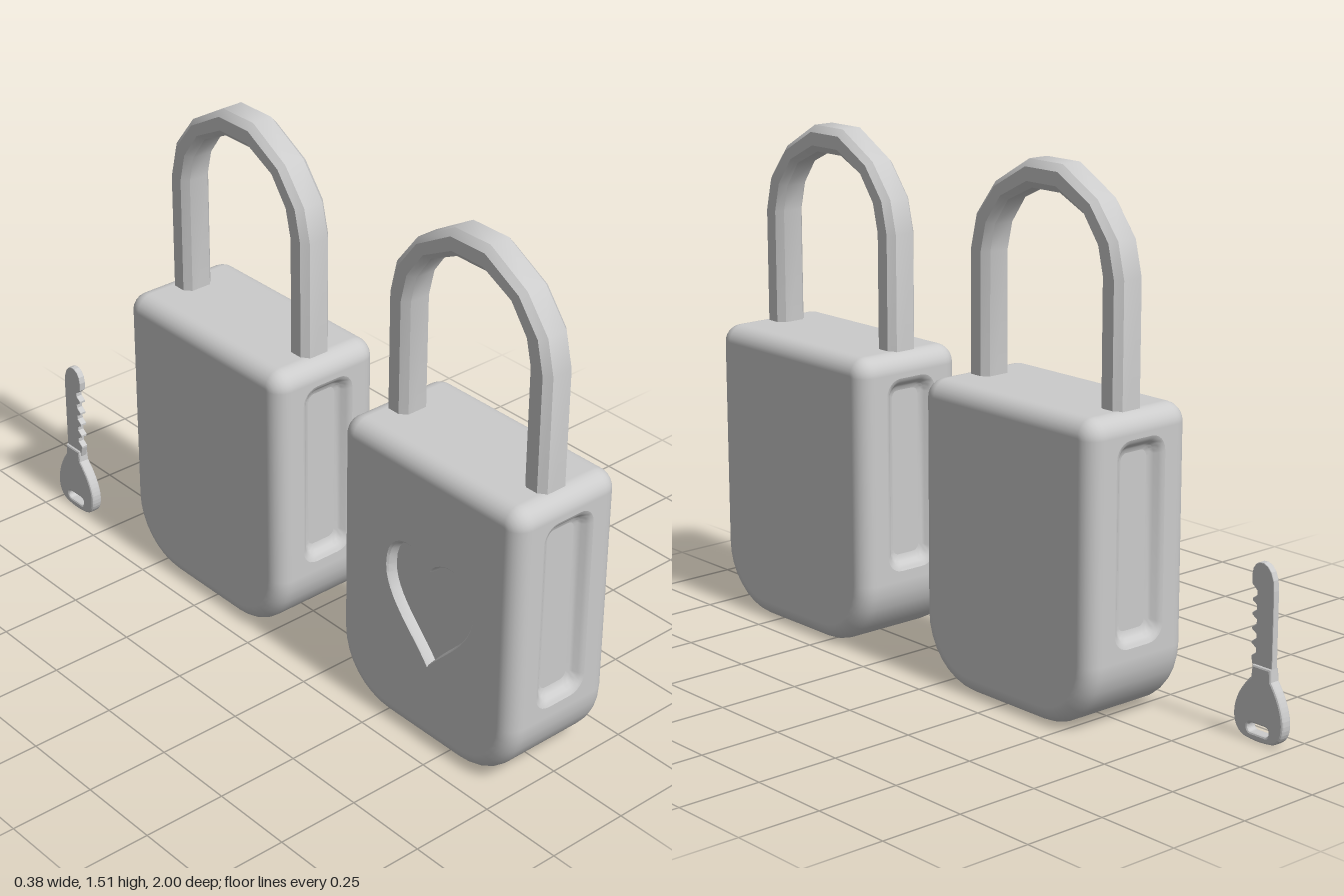
import * as THREE from 'three';
import { mergeGeometries, toCreasedNormals } from 'three/addons/utils/BufferGeometryUtils.js';

const mat = new THREE.MeshStandardMaterial({ color: 0xcccccc });
const V = (x, y) => new THREE.Vector2(x, y);
const H = 0.3425, HX = 0.183, TOP = 0.88, BEVEL = 0.05, R_TOP = 0.055, R_LOW = 0.2;

function mesh(geo, name) {
  const m = new THREE.Mesh(geo, mat);
  m.name = name;
  return m;
}

// Skin a list of closed rings of Vector3
function loft(rings) {
  const n = rings[0].length, idx = [];
  for (let k = 0; k < rings.length - 1; k++)
    for (let i = 0; i < n; i++) {
      const j = (i + 1) % n;
      const a = k * n + i, b = k * n + j, c = b + n, d = a + n;
      idx.push(a, b, c, a, c, d);
    }
  const g = new THREE.BufferGeometry().setFromPoints(rings.flat());
  g.setIndex(idx);
  return toCreasedNormals(g, 0.6);
}

// Counter-clockwise rounded rectangle
function roundRect(w, h, r, cx = 0, cy = 0, seg = 6) {
  const pts = [];
  [[1, -1], [1, 1], [-1, 1], [-1, -1]].forEach(([sx, sy], q) => {
    for (let i = 0; i <= seg; i++) {
      const a = (q - 1 + i / seg) * Math.PI / 2;
      pts.push(V(cx + sx * (w / 2 - r) + r * Math.cos(a), cy + sy * (h / 2 - r) + r * Math.sin(a)));
    }
  });
  return pts;
}

const rect = (x, y0, y1) => [V(-x, y0), V(x, y0), V(x, y1), V(-x, y1)];

// Flat panel facing +z; recess = { at: inset => contour, steps: [[inset, depth], ...] }
function panel(outline, recess) {
  const shape = new THREE.Shape(outline);
  if (!recess) return new THREE.ShapeGeometry(shape).toNonIndexed();
  shape.holes.push(new THREE.Path(recess.at(0)));
  const rings = recess.steps.map(([inset, depth]) =>
    recess.at(inset).map(p => new THREE.Vector3(p.x, p.y, -depth)));
  const [lastInset, lastDepth] = recess.steps.at(-1);
  const floor = new THREE.ShapeGeometry(new THREE.Shape(recess.at(lastInset)));
  floor.translate(0, 0, -lastDepth);
  const parts = [new THREE.ShapeGeometry(shape), floor].map(g => g.toNonIndexed());
  parts.forEach(g => g.deleteAttribute('uv'));
  return mergeGeometries([...parts, loft(rings)]);
}

// Side outline of the body in (z, y), with outward normals
function bodyProfile() {
  const pts = [], seg = 8;
  const corners = [[H - R_LOW, R_LOW, R_LOW], [H - R_TOP, TOP - R_TOP, R_TOP],
    [R_TOP - H, TOP - R_TOP, R_TOP], [R_LOW - H, R_LOW, R_LOW]];
  corners.forEach(([cz, cy, r], q) => {
    for (let i = 0; i <= seg; i++) {
      const a = (q - 1 + i / seg) * Math.PI / 2, n = V(Math.cos(a), Math.sin(a));
      pts.push({ p: V(cz + r * n.x, cy + r * n.y), n, straight: i === seg });
    }
  });
  return pts;
}

// Rounded edges of the body, leaving the six flat areas open
function bodyEdges(profile) {
  const pos = [], nor = [], idx = [], seg = 6, cols = 2 * (seg + 1);
  for (const { p, n } of profile)
    for (let j = 0; j < cols; j++) {
      const s = j <= seg ? -1 : 1;
      const a = (j <= seg ? j / seg - 1 : (j - seg - 1) / seg) * Math.PI / 2;
      const c = Math.cos(a), off = BEVEL * (1 - c);
      pos.push(s * (HX - BEVEL) + BEVEL * Math.sin(a), p.y - n.y * off, p.x - n.x * off);
      nor.push(Math.sin(a), n.y * c, n.x * c);
    }
  profile.forEach((pt, i) => {
    const k = (i + 1) % profile.length;
    for (let j = 0; j < cols - 1; j++) {
      if (pt.straight && j === seg) continue;
      const a = i * cols + j, d = k * cols + j;
      idx.push(a, a + 1, d + 1, a, d + 1, d);
    }
  });
  const g = new THREE.BufferGeometry();
  g.setAttribute('position', new THREE.Float32BufferAttribute(pos, 3));
  g.setAttribute('normal', new THREE.Float32BufferAttribute(nor, 3));
  g.setIndex(idx);
  return g;
}

const grip = {
  at: i => roundRect(0.18 - 2 * i, 0.58 - 2 * i, 0.05 - i * 0.7, 0, 0.52),
  steps: [[0, 0], [0.008, 0.003], [0.016, 0.01], [0.024, 0.021], [0.031, 0.027], [0.042, 0.03]],
};
const keySlot = { at: i => roundRect(0.07 - 2 * i, 0.145 - 2 * i, 0.006), steps: [[0, 0], [0.001, 0.07]] };

function heartPoints(inset) {
  const s = new THREE.Shape();
  s.moveTo(0, 0.13);
  s.bezierCurveTo(-0.03, 0.19, -0.17, 0.21, -0.17, 0.07);
  s.bezierCurveTo(-0.17, -0.03, -0.06, -0.1, 0, -0.18);
  s.bezierCurveTo(0.06, -0.1, 0.17, -0.03, 0.17, 0.07);
  s.bezierCurveTo(0.17, 0.21, 0.03, 0.19, 0, 0.13);
  const k = 1 - inset / 0.17;
  return s.getPoints(12).slice(0, -1).map(p => V(0.02 + p.x * k, 0.43 + p.y * k));
}
const heart = { at: heartPoints, steps: [[0, 0], [0.005, 0.005], [0.01, 0.03]] };

// Faceted shackle: chamfered section carried between outer and inner outlines
function shackle(rise) {
  const half = [[0.302, 0.7, 0.222, 0.7], [0.302, 1.22, 0.222, 1.22], [0.278, 1.32, 0.203, 1.3],
    [0.2, 1.42, 0.15, 1.375], [0.065, 1.498, 0.055, 1.42]];
  const path = [...half, ...half.slice().reverse().map(([a, b, c, d]) => [-a, b, -c, d])];
  const section = [[0.05, 0.25], [0.032, 0], [-0.032, 0], [-0.05, 0.25],
    [-0.05, 0.75], [-0.032, 1], [0.032, 1], [0.05, 0.75]];
  return loft(path.map(([oz, oy, iz, iy]) => section.map(([x, t]) =>
    new THREE.Vector3(x, iy + (oy - iy) * t + rise, iz + (oz - iz) * t))));
}

function padlock(name, withHeart, rise, shackleX) {
  const g = new THREE.Group();
  g.name = name;
  const profile = bodyProfile(), q = Math.PI / 2, x = HX - BEVEL;
  g.add(mesh(bodyEdges(profile), 'bodyEdges'));
  const cap = profile.map(({ p, n }) => V(p.x - n.x * BEVEL, p.y - n.y * BEVEL));
  const side = rect(x, R_LOW, TOP - R_TOP);
  const add = (label, geo, dist, rx, ry) =>
    g.add(mesh(geo.translate(0, 0, dist).rotateX(rx).rotateY(ry), label));
  add('leftFace', panel(cap), HX, 0, q);
  add('rightFace', panel(cap, withHeart ? heart : null), HX, 0, -q);
  add('frontGrip', panel(side, grip), H, 0, 0);
  add('backGrip', panel(side, grip), H, 0, Math.PI);
  add('topFace', panel(rect(x, R_TOP - H, H - R_TOP)), TOP, -q, 0);
  add('bottomKeySlot', panel(rect(x, R_LOW - H, H - R_LOW), keySlot), 0, q, 0);
  const bar = mesh(shackle(rise), 'shackle');
  bar.position.x = shackleX;
  g.add(bar);
  return g;
}

function key() {
  const g = new THREE.Group();
  g.name = 'key';
  const extrude = (shape, depth, bevel) => new THREE.ExtrudeGeometry(shape, {
    depth: depth - 2 * bevel, bevelSize: bevel, bevelOffset: -bevel, bevelThickness: bevel, bevelSegments: 2, curveSegments: 8,
  }).translate(0, 0, bevel - depth / 2).rotateY(Math.PI / 2);
  // Bow with a slot for a ring
  const bow = new THREE.Shape();
  bow.moveTo(-0.05, 0.005);
  bow.quadraticCurveTo(0, -0.004, 0.05, 0.005);
  bow.quadraticCurveTo(0.095, 0.02, 0.088, 0.08);
  bow.quadraticCurveTo(0.08, 0.13, 0.043, 0.18);
  bow.lineTo(0.04, 0.215);
  bow.lineTo(-0.026, 0.215);
  bow.lineTo(-0.03, 0.18);
  bow.quadraticCurveTo(-0.08, 0.13, -0.088, 0.08);
  bow.quadraticCurveTo(-0.095, 0.02, -0.05, 0.005);
  bow.holes.push(new THREE.Path(roundRect(0.075, 0.026, 0.012, 0, 0.036)));
  g.add(mesh(extrude(bow, 0.034, 0.006), 'keyBow'));
  // Blade with a toothed edge and rounded tip
  const blade = new THREE.Shape();
  blade.moveTo(-0.026, 0.19);
  blade.lineTo(0.04, 0.19);
  blade.lineTo(0.04, 0.43);
  blade.bezierCurveTo(0.042, 0.52, -0.038, 0.52, -0.04, 0.46);
  blade.lineTo(-0.038, 0.435);
  for (let i = 0; i < 5; i++) {
    const y = 0.42 - i * 0.04;
    blade.lineTo(-0.02, y);
    blade.lineTo(-0.02, y - 0.012);
    blade.lineTo(-0.036, y - 0.024);
    blade.lineTo(-0.036, y - 0.03);
  }
  g.add(mesh(extrude(blade, 0.02, 0.002), 'keyBlade'));
  return g;
}

export function createModel() {
  const model = new THREE.Group();
  model.name = 'padlocksAndKey';
  const front = padlock('frontPadlock', true, 0, -0.013);
  front.position.set(0.007, 0, 0.6575);
  const back = padlock('backPadlock', false, 0.011, 0);
  back.position.set(-0.005, 0, -0.2725);
  const k = key();
  k.position.set(-0.178, 0, -0.911);
  model.add(front, back, k);
  return model;
}
